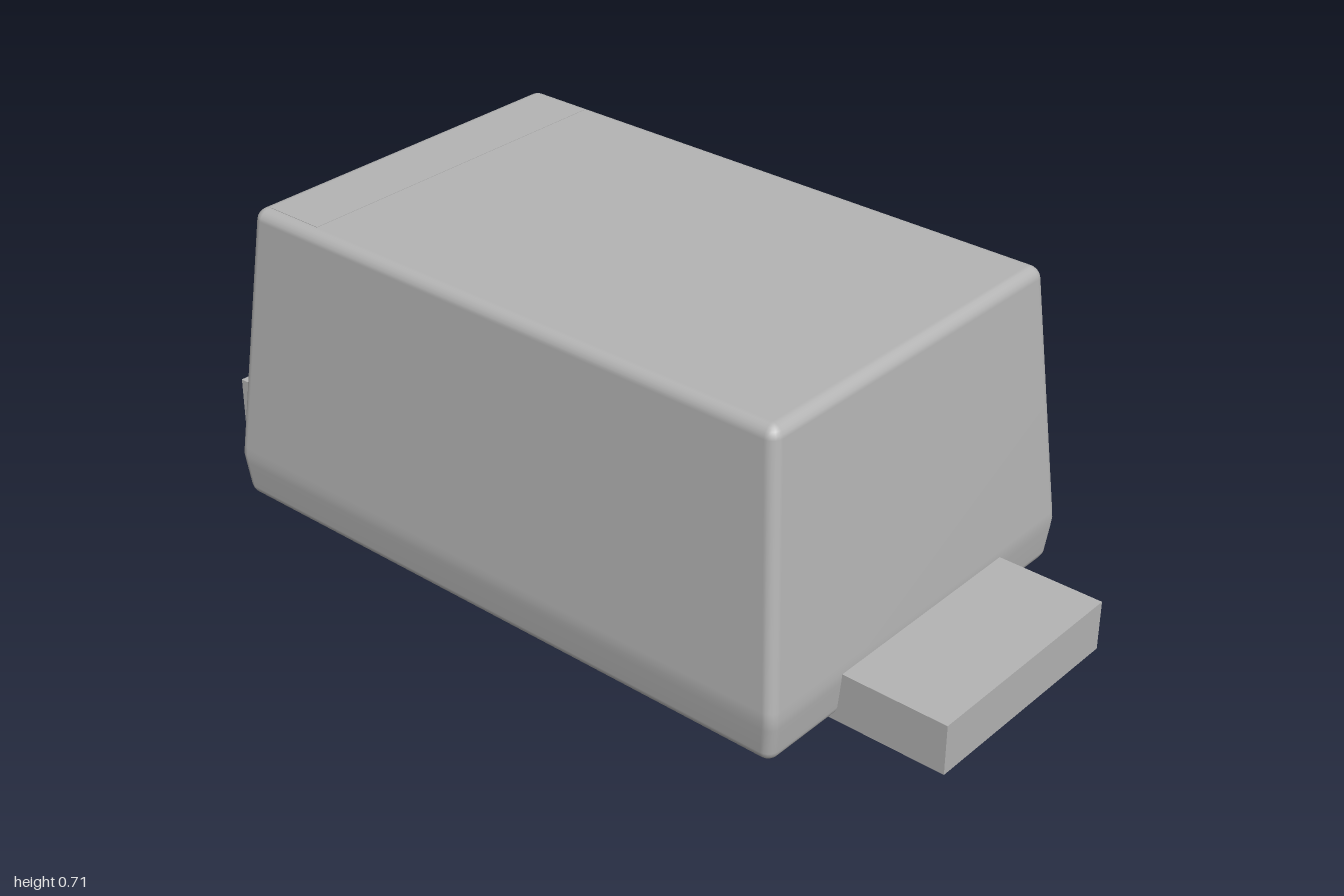
import * as THREE from 'three';

const HEIGHT = 0.71, BASE = 0.008, RIDGE = 0.113, FILLET = 0.025, STEPS = 5;

// Rounded rectangle in the xz plane: half sizes hx, hz and corner radius r
function ring(hx, hz, r, y) {
  const pts = [];
  [[1, 1], [-1, 1], [-1, -1], [1, -1]].forEach(([sx, sz], q) => {
    for (let i = 0; i <= STEPS; i++) {
      const a = (q + i / STEPS) * Math.PI / 2;
      pts.push([sx * (hx - r) + r * Math.cos(a), y, sz * (hz - r) + r * Math.sin(a)]);
    }
  });
  return pts;
}

// Closed skin over a stack of rings, lowest first
function loft(rings) {
  const n = rings[0].length, pos = rings.flat(2), idx = [];
  for (let k = 0; k < rings.length - 1; k++) {
    for (let j = 0; j < n; j++) {
      const a = k * n + j, b = k * n + (j + 1) % n;
      idx.push(a, a + n, b, b, a + n, b + n);
    }
  }
  const bottom = rings.length * n, top = bottom + 1, last = (rings.length - 1) * n;
  pos.push(0, rings[0][0][1], 0, 0, rings[rings.length - 1][0][1], 0);
  for (let j = 0; j < n; j++) {
    const m = (j + 1) % n;
    idx.push(bottom, j, m, top, last + m, last + j);
  }
  const g = new THREE.BufferGeometry();
  g.setAttribute('position', new THREE.Float32BufferAttribute(pos, 3));
  g.setIndex(idx);
  g.computeVertexNormals();
  return g;
}

// Moulded case: drafted walls above and below a soft ridge, rounded edges
function caseGeometry() {
  const rings = [];
  const add = (y, inset) => {
    const t = y > RIDGE ? (y - RIDGE) / (HEIGHT - RIDGE) : 0;
    const s = y < RIDGE ? (RIDGE - y) / (RIDGE - BASE) : 0;
    const hx = 0.755 - 0.056 * t - 0.011 * s - inset;
    const hz = 0.487 - 0.052 * t - 0.011 * s - inset;
    rings.push(ring(hx, hz, Math.max(FILLET - inset, 0.002), y));
  };
  const arc = i => i / STEPS * Math.PI / 2;
  for (let i = 0; i <= STEPS; i++) {
    add(BASE + FILLET * (1 - Math.cos(arc(i))), FILLET * (1 - Math.sin(arc(i))));
  }
  [-0.02, 0, 0.02].forEach(d => add(RIDGE + d, d === 0 ? 0.0005 : 0));
  for (let i = 0; i <= STEPS; i++) {
    add(HEIGHT - FILLET * (1 - Math.sin(arc(i))), FILLET * (1 - Math.cos(arc(i))));
  }
  return loft(rings);
}

export function createModel() {
  const model = new THREE.Group();
  model.name = 'surfaceMountDiode';
  const grey = new THREE.MeshStandardMaterial({ name: 'plain grey', color: 0xb4b4b4 });

  const add = (name, geometry, x = 0, y = 0) => {
    const mesh = new THREE.Mesh(geometry, grey);
    mesh.name = name;
    mesh.position.set(x, y, 0);
    model.add(mesh);
  };

  add('case', caseGeometry());

  // Polarity band, almost flush with the top
  add('polarityBand', new THREE.BoxGeometry(0.145, 0.002, 0.82), -0.6, HEIGHT);

  // Flat terminals running under both ends
  for (const side of [1, -1]) {
    add(side > 0 ? 'leftTerminal' : 'rightTerminal',
      new THREE.BoxGeometry(0.43, 0.115, 0.54), side * 0.785, 0.0575);
  }
  return model;
}
